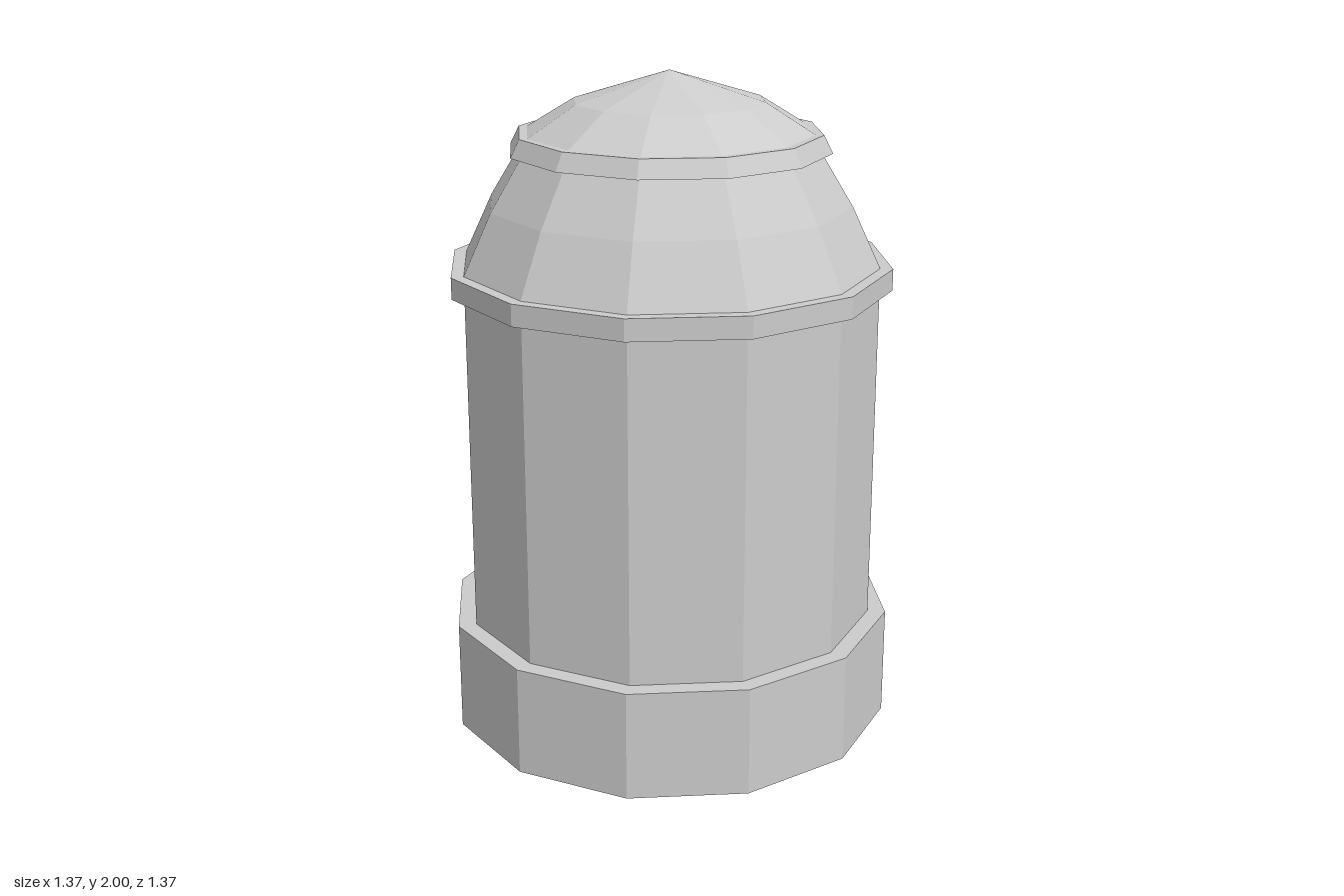
import * as THREE from 'three';

const SIDES = 12;

export function createModel() {
  const group = new THREE.Group();
  const material = new THREE.MeshStandardMaterial({ color: 0xcccccc, flatShading: true });

  // Turns a [radius, height] profile, listed from bottom to top, into a faceted part
  function turned(name, profile) {
    const points = profile.map(([r, y]) => new THREE.Vector2(r, y));
    const mesh = new THREE.Mesh(new THREE.LatheGeometry(points, SIDES), material);
    mesh.name = name;
    group.add(mesh);
  }

  // Wide foot with a closed underside and a narrow ledge on top
  turned('base', [[0, 0], [0.685, 0], [0.685, 0.335], [0.63, 0.335]]);
  // Straight drum
  turned('body', [[0.63, 0.335], [0.63, 1.37]]);
  // Projecting band between the drum and the dome
  turned('collar', [[0.63, 1.37], [0.668, 1.37], [0.668, 1.435], [0.63, 1.435]]);
  // Lower dome, rising in two tiers
  turned('dome', [[0.63, 1.435], [0.545, 1.615], [0.45, 1.77]]);
  // Thin sloping rim under the cap
  turned('capRim', [[0.45, 1.77], [0.482, 1.77], [0.455, 1.823], [0.43, 1.823]]);
  // Shallow pointed cap
  turned('cap', [[0.43, 1.823], [0.285, 1.912], [0, 2]]);

  return group;
}
